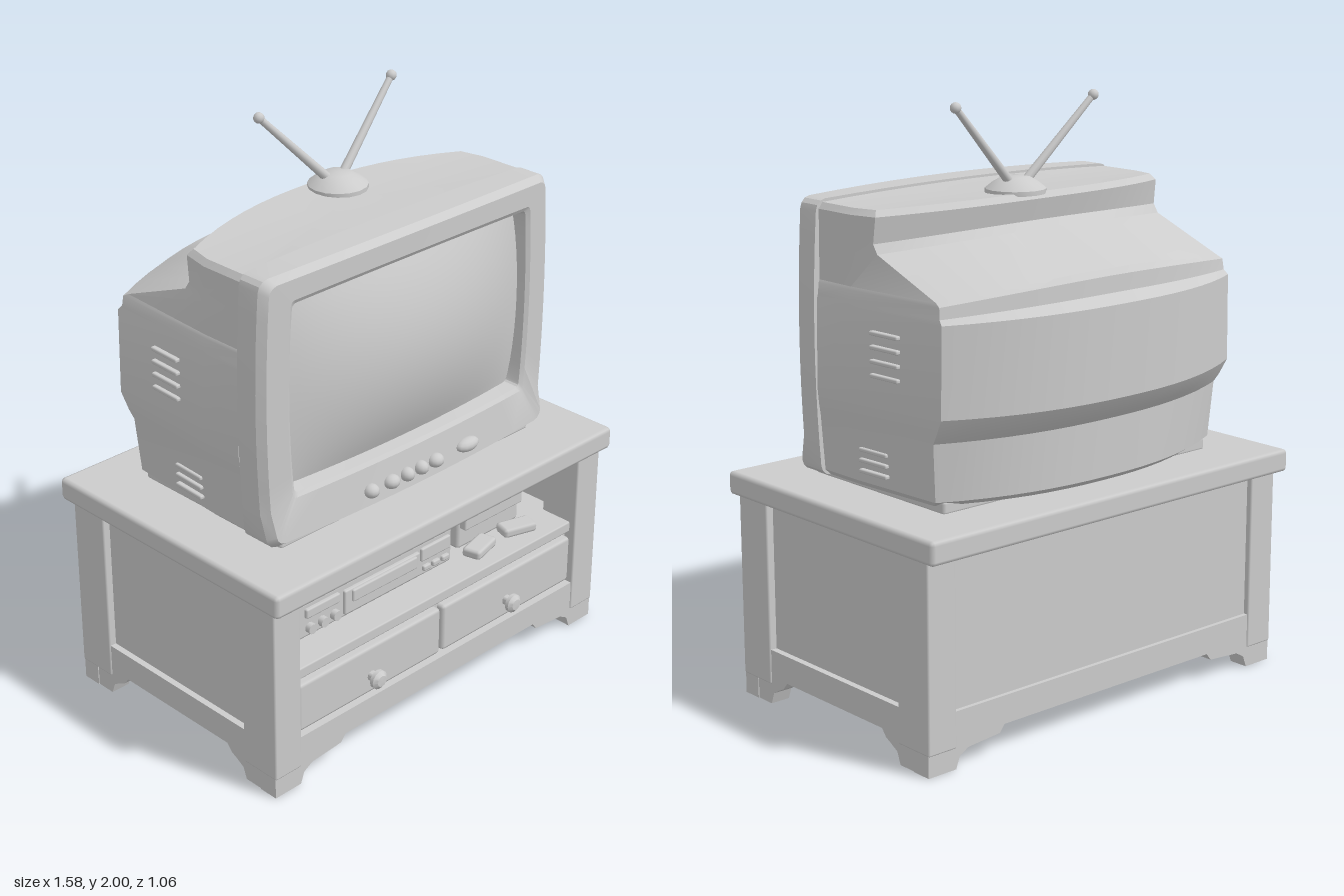
import * as THREE from 'three';
import { toCreasedNormals } from 'three/addons/utils/BufferGeometryUtils.js';
import { RoundedBoxGeometry } from 'three/addons/geometries/RoundedBoxGeometry.js';

const mat = new THREE.MeshStandardMaterial({ color: 0xcccccc });

function add(parent, name, geo, x = 0, y = 0, z = 0) {
  const m = new THREE.Mesh(geo, mat);
  m.name = name;
  m.position.set(x, y, z);
  parent.add(m);
  return m;
}

// Box given by its limits, with softened edges
function box(parent, name, x0, x1, y0, y1, z0, z1, r = 0.006) {
  const geo = new RoundedBoxGeometry(x1 - x0, y1 - y0, z1 - z0, 1, r);
  return add(parent, name, geo, (x0 + x1) / 2, (y0 + y1) / 2, (z0 + z1) / 2);
}

// Skin through closed rings of [x, y, z], optionally closing the ends
function loft(rings, capStart, capEnd) {
  const n = rings[0].length, pos = rings.flat(2), idx = [];
  for (let i = 0; i < rings.length - 1; i++) {
    for (let j = 0; j < n; j++) {
      const a = i * n + j, b = i * n + (j + 1) % n;
      idx.push(a, b, b + n, a, b + n, a + n);
    }
  }
  const cap = (i, flip) => {
    const c = [0, 1, 2].map(k => rings[i].reduce((s, p) => s + p[k], 0) / n);
    const ci = pos.length / 3;
    pos.push(...c);
    for (let j = 0; j < n; j++) {
      const a = i * n + j, b = i * n + (j + 1) % n;
      idx.push(ci, flip ? b : a, flip ? a : b);
    }
  };
  if (capStart) cap(0, true);
  if (capEnd) cap(rings.length - 1, false);
  const g = new THREE.BufferGeometry();
  g.setAttribute('position', new THREE.Float32BufferAttribute(pos, 3));
  g.setIndex(idx);
  return toCreasedNormals(g, 0.45);
}

// Bracket-footed rail, centred on x, extruded along z
function railGeometry(half, foot, step, top, depth) {
  const side = [[half, 0], [half - foot, 0], [half - foot - 0.015, 0.04], [half - foot - 0.05, 0.06],
    [half - foot - step + 0.02, 0.07], [half - foot - step, 0.095]];
  const pts = [[half, top], ...side, ...side.map(([x, y]) => [-x, y]).reverse(), [-half, top]];
  const shape = new THREE.Shape(pts.map(p => new THREE.Vector2(...p)).reverse());
  return new THREE.ExtrudeGeometry(shape, { depth, bevelEnabled: false }).translate(0, 0, -depth / 2);
}

function buildCabinet() {
  const g = new THREE.Group();
  g.name = 'cabinet';
  box(g, 'tabletop', -0.79, 0.79, 0.69, 0.77, -0.525, 0.525, 0.015);
  box(g, 'backPanel', -0.7, 0.7, 0.1, 0.695, -0.46, -0.43);
  box(g, 'floor', -0.74, 0.74, 0.095, 0.12, -0.46, 0.45);
  add(g, 'frontRail', railGeometry(0.77, 0.11, 0.2, 0.18, 0.07), 0, 0, 0.45);
  add(g, 'backRail', railGeometry(0.77, 0.11, 0.2, 0.19, 0.07), 0, 0, -0.44);
  box(g, 'topRail', -0.7, 0.7, 0.665, 0.7, 0.4, 0.46);
  for (const s of [-1, 1]) {
    const lim = (a, b) => (s > 0 ? [a, b] : [-b, -a]);
    add(g, 'sideRail', railGeometry(0.48, 0.14, 0.09, 0.19, 0.07), s * 0.732, 0, 0.005).rotation.y = Math.PI / 2;
    box(g, 'sidePanel', ...lim(0.71, 0.745), 0.1, 0.695, -0.4, 0.4);
    box(g, 'frontLeg', ...lim(0.66, 0.772), 0.07, 0.7, 0.34, 0.49);
    box(g, 'backLeg', ...lim(0.66, 0.772), 0.07, 0.7, -0.48, -0.33);
    // Drawer with a turned knob
    box(g, 'drawer', ...lim(0.006, 0.655), 0.19, 0.365, 0.3, 0.475, 0.012);
    const knob = [[0, 0], [0.018, 0], [0.018, 0.025], [0.033, 0.032], [0.033, 0.045], [0.02, 0.056], [0, 0.058]];
    const knobGeo = new THREE.LatheGeometry(knob.map(p => new THREE.Vector2(...p)), 12);
    add(g, 'knob', toCreasedNormals(knobGeo, 0.6), s * 0.327 - 0.005, 0.255, 0.468).rotation.x = Math.PI / 2;
  }
  box(g, 'drawerCase', -0.7, 0.7, 0.12, 0.39, -0.43, 0.445);
  box(g, 'shelf', -0.71, 0.71, 0.38, 0.42, -0.43, 0.465);
  return g;
}

function buildShelfDevices() {
  const g = new THREE.Group();
  g.name = 'shelfDevices';
  // Video recorder
  box(g, 'recorderBody', -0.55, 0.165, 0.43, 0.56, 0.02, 0.36, 0.01);
  box(g, 'recorderFace', -0.35, 0.0, 0.445, 0.535, 0.33, 0.372);
  box(g, 'cassetteDoor', -0.32, -0.02, 0.485, 0.53, 0.34, 0.38);
  box(g, 'recorderDisplay', 0.01, 0.15, 0.49, 0.54, 0.34, 0.37);
  box(g, 'recorderButtons', -0.52, -0.37, 0.505, 0.54, 0.34, 0.372);
  for (let i = 0; i < 3; i++) {
    const dial = new THREE.CylinderGeometry(0.018, 0.018, 0.03, 10).rotateX(Math.PI / 2);
    add(g, 'recorderDial', dial, -0.5 + i * 0.055, 0.465, 0.365);
    box(g, 'recorderKey', 0.02 + i * 0.045, 0.055 + i * 0.045, 0.45, 0.47, 0.34, 0.372);
  }
  for (const x of [-0.49, 0.1]) box(g, 'recorderFoot', x - 0.03, x + 0.03, 0.415, 0.435, 0.06, 0.33);
  // Smaller box with two handsets resting in front
  box(g, 'smallDevice', 0.24, 0.55, 0.42, 0.555, 0.08, 0.32, 0.012);
  box(g, 'smallDeviceLid', 0.25, 0.54, 0.5, 0.55, 0.29, 0.345);
  for (const [x, a] of [[0.29, 0.25], [0.48, -0.3]]) {
    const h = box(g, 'handset', x - 0.065, x + 0.065, 0.42, 0.455, 0.34, 0.41, 0.012);
    h.rotation.y = a;
  }
  return g;
}

// Rounded rectangle facing +z, bowed outward; its depth follows zAt(x, y)
function bezelRing(w, y0, y1, r, zAt) {
  const corners = [[w - r, y0 + r], [w - r, y1 - r], [-w + r, y1 - r], [-w + r, y0 + r]];
  const arcs = corners.map(([cx, cy], k) => [0, 1, 2, 3].map(i => {
    const a = (k - 1 + i / 3) * Math.PI / 2;
    return [cx + r * Math.cos(a), cy + r * Math.sin(a)];
  }));
  const pts = [];
  arcs.forEach((arc, k) => {
    pts.push(...arc);
    const a = arc[3], b = arcs[(k + 1) % 4][0];
    for (let i = 1; i < 10; i++) pts.push([a[0] + (b[0] - a[0]) * i / 10, a[1] + (b[1] - a[1]) * i / 10]);
  });
  const mid = (y0 + y1) / 2, h = (y1 - y0) / 2;
  return pts.map(([x, y]) => {
    const px = x * (1 + 0.03 * (1 - ((y - mid) / h) ** 2));
    const py = y + (y > mid ? 0.014 * (1 - (x / w) ** 2) : 0);
    return [px, py, zAt(px, y)];
  });
}

// Horizontal outline of the rear housing with a bowed back
function housingRing([y, w, zBack, zSide, crown]) {
  const pts = [], put = (x, z) => pts.push([x, y - crown * (x / w) ** 2, z]);
  const wb = w - 0.02, front = 0.21;
  for (let i = 0; i < 10; i++) put(-w + 2 * w * i / 10, front);
  put(w, front);
  put(w, Math.max(0.05, zSide + 0.03));
  for (let i = 0; i <= 16; i++) {
    const t = 1 - i / 8;
    put(wb * t, zSide + (zBack - zSide) * (1 - Math.abs(t) ** 2.3));
  }
  put(-w, Math.max(0.05, zSide + 0.03));
  put(-w, front);
  return pts.slice(0, -1);
}

function buildTelevision() {
  const g = new THREE.Group();
  g.name = 'television';
  box(g, 'plinth', -0.58, 0.58, 0.765, 0.81, -0.33, 0.32, 0.01);

  // Rear housing layers: height, half width, back depth, side depth, crown
  const layers = [
    [0.79, 0.605, -0.43, -0.29, 0], [0.81, 0.625, -0.455, -0.32, 0], [1.0, 0.64, -0.455, -0.33, 0],
    [1.03, 0.645, -0.49, -0.35, 0], [1.085, 0.65, -0.53, -0.38, 0], [1.385, 0.645, -0.53, -0.38, 0.01],
    [1.41, 0.64, -0.475, -0.365, 0.02], [1.465, 0.637, -0.472, -0.36, 0.04], [1.485, 0.632, -0.455, -0.34, 0.05],
    [1.58, 0.632, -0.18, -0.06, 0.035], [1.605, 0.632, -0.155, -0.04, 0.03], [1.675, 0.63, -0.17, -0.05, 0.015],
    [1.695, 0.615, -0.155, -0.035, 0.015]];
  add(g, 'rearHousing', loft(layers.map(housingRing), true, true));

  // Front frame running around to the recessed screen
  const face = d => (x, y) => d + 0.03 * (1 - (x / 0.66) ** 2) + (y < 0.9 ? 0.02 : 0);
  const frame = [
    bezelRing(0.6, 0.82, 1.65, 0.03, () => 0.215), bezelRing(0.635, 0.787, 1.688, 0.035, () => 0.215),
    bezelRing(0.635, 0.787, 1.688, 0.035, face(0.295)), bezelRing(0.615, 0.805, 1.67, 0.03, face(0.32)),
    bezelRing(0.535, 0.935, 1.605, 0.015, face(0.32)), bezelRing(0.522, 0.948, 1.59, 0.015, face(0.31)),
    bezelRing(0.505, 0.96, 1.575, 0.015, () => 0.24)];
  add(g, 'frontFrame', loft(frame));

  // Convex screen
  const screen = new THREE.PlaneGeometry(1.07, 0.66, 20, 14);
  const p = screen.attributes.position;
  for (let i = 0; i < p.count; i++) {
    const u = p.getX(i) / 0.535, v = p.getY(i) / 0.33;
    p.setZ(i, 0.11 * (1 - u ** 2 * 0.75) * (1 - v ** 2 * 0.75));
  }
  screen.computeVertexNormals();
  add(g, 'screen', screen, 0, 1.27, 0.262);

  // Control buttons under the screen
  for (const [x, w] of [[-0.225, 0.055], [-0.135, 0.06], [-0.065, 0.05], [0, 0.05], [0.07, 0.06], [0.225, 0.1]]) {
    const b = add(g, 'button', new THREE.SphereGeometry(1, 12, 8), x, 0.855, 0.366 - 0.06 * x * x);
    b.scale.set(w / 2, 0.024, 0.028);
  }

  // Slanted vent ribs on both sides
  for (const s of [-1, 1]) {
    for (const [y0, n, step] of [[1.175, 4, 0.045], [0.85, 3, 0.035]]) {
      for (let i = 0; i < n; i++) {
        const low = y0 < 1, x = s * (low ? 0.628 : 0.643), z = low ? -0.05 : -0.13;
        const rib = add(g, 'ventRib', new RoundedBoxGeometry(0.022, 0.014, 0.13, 1, 0.005), x, y0 + i * step, z);
        rib.rotation.y = s * 0.05;
      }
    }
  }
  return g;
}

function buildAntenna() {
  const g = new THREE.Group();
  g.name = 'antenna';
  const dome = [[0, 0], [0.1, 0], [0.1, 0.015], [0.075, 0.035], [0.045, 0.052], [0, 0.055]];
  const domeGeo = new THREE.LatheGeometry(dome.map(q => new THREE.Vector2(...q)), 16);
  add(g, 'antennaBase', toCreasedNormals(domeGeo, 0.6), 0.06, 1.687, -0.08);
  for (const s of [-1, 1]) {
    const a = new THREE.Vector3(0.06 + s * 0.03, 1.72, -0.09);
    const b = new THREE.Vector3(0.06 + s * 0.293, 1.983, -0.13);
    const rod = add(g, 'antennaRod', new THREE.CylinderGeometry(0.011, 0.016, a.distanceTo(b), 10));
    rod.position.copy(a).lerp(b, 0.5);
    rod.quaternion.setFromUnitVectors(new THREE.Vector3(0, 1, 0), b.clone().sub(a).normalize());
    add(g, 'antennaTip', new THREE.SphereGeometry(0.018, 10, 8), b.x, b.y, b.z);
  }
  return g;
}

export function createModel() {
  const model = new THREE.Group();
  model.name = 'televisionOnStand';
  model.add(buildCabinet(), buildShelfDevices(), buildTelevision(), buildAntenna());
  return model;
}
